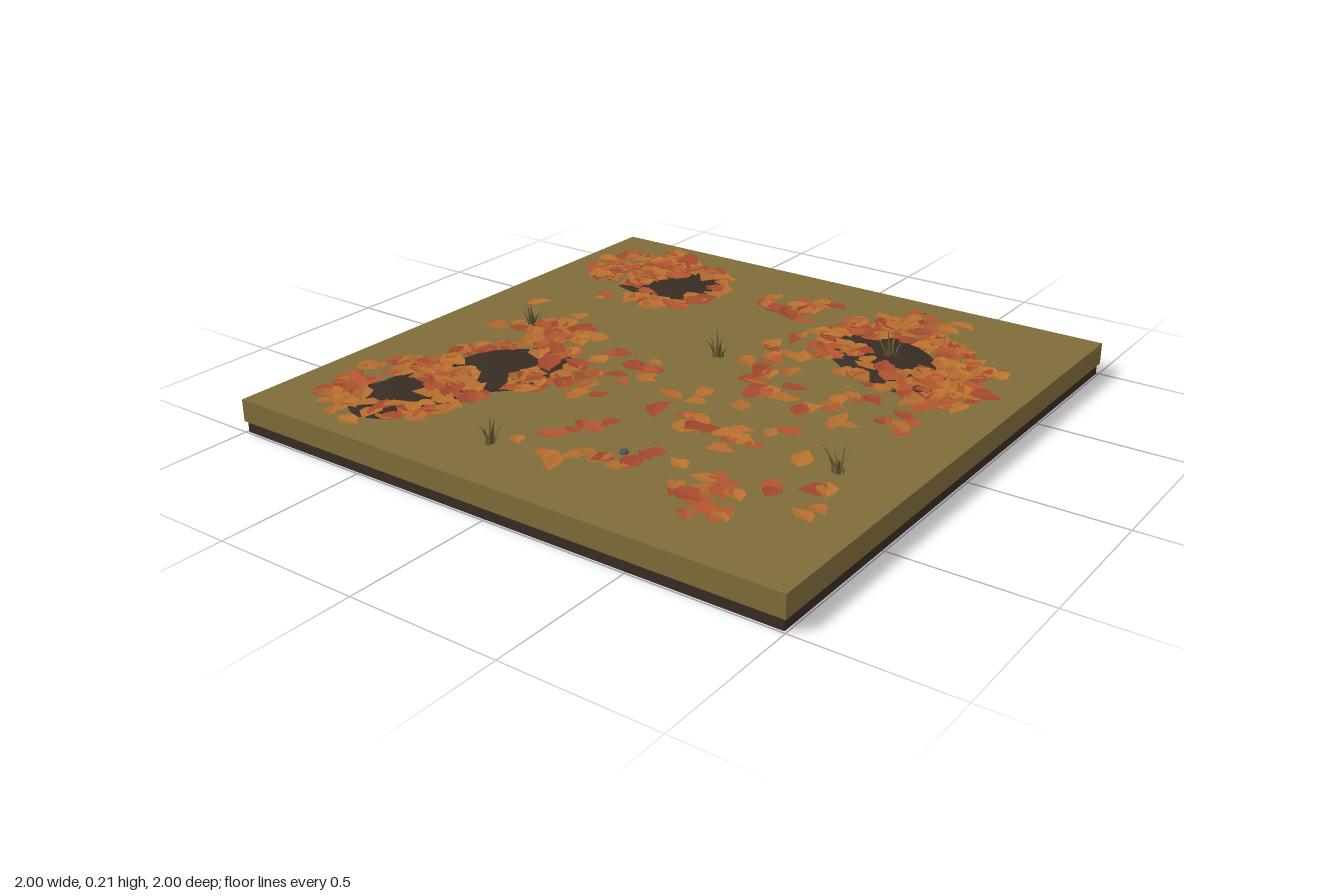
import * as THREE from 'three';
import { mergeGeometries } from 'three/addons/utils/BufferGeometryUtils.js';

const TOP = 0.112;
let seed = 7;
const rand = () => {
  seed = (seed * 16807) % 2147483647;
  return seed / 2147483647;
};
const range = (a, b) => a + (b - a) * rand();

const mat = (color) => new THREE.MeshStandardMaterial({ color, flatShading: true, side: THREE.DoubleSide });

function add(parent, name, geometry, material) {
  const mesh = new THREE.Mesh(geometry, material);
  mesh.name = name;
  parent.add(mesh);
  return mesh;
}

// Soil mounds: centre, radii, turn about y and height
const MOUNDS = [
  { x: -0.66, z: -0.6, rx: 0.22, rz: 0.16, turn: -0.3, h: 0.02 },
  { x: -0.34, z: -0.49, rx: 0.23, rz: 0.17, turn: -0.5, h: 0.022 },
  { x: 0.63, z: -0.53, rx: 0.17, rz: 0.19, turn: 0.2, h: 0.02 },
  { x: 0.43, z: 0.5, rx: 0.16, rz: 0.29, turn: -0.55, h: 0.022 },
];

// Height of the ground, including mounds, at a point
function groundHeight(x, z) {
  let y = TOP;
  for (const m of MOUNDS) {
    const dx = x - m.x, dz = z - m.z, c = Math.cos(m.turn), s = Math.sin(m.turn);
    const u = (dx * c - dz * s) / m.rx, v = (dx * s + dz * c) / m.rz;
    const d = u * u + v * v;
    if (d < 1) y = Math.max(y, TOP + m.h * Math.sqrt(1 - d));
  }
  return y;
}

// Grass slab with a faintly uneven top
function slabGeometry() {
  const geo = new THREE.BoxGeometry(2, TOP - 0.038, 2, 20, 1, 20);
  geo.translate(0, (TOP + 0.038) / 2, 0);
  const p = geo.attributes.position;
  for (let i = 0; i < p.count; i++) {
    const x = p.getX(i), z = p.getZ(i);
    if (p.getY(i) < TOP - 0.01 || Math.max(Math.abs(x), Math.abs(z)) > 0.99) continue;
    const dip = 0.004 * Math.exp(-((x - 0.35) ** 2 + (z + 0.1) ** 2) * 8);
    p.setY(i, TOP - dip - 0.002 * Math.abs(Math.sin(x * 17 + z * 9) * Math.cos(z * 13)));
  }
  return geo;
}

// Low dome with a ragged rim
function moundGeometry({ x, z, rx, rz, turn, h }) {
  const geo = new THREE.SphereGeometry(1, 18, 5, 0, Math.PI * 2, 0, Math.PI / 2);
  const p = geo.attributes.position;
  for (let i = 0; i < p.count; i++) {
    const a = Math.atan2(p.getZ(i), p.getX(i));
    const k = 1 + 0.06 * Math.sin(a * 5 + x * 9) + 0.04 * Math.sin(a * 8);
    p.setXYZ(i, p.getX(i) * k, p.getY(i), p.getZ(i) * k);
  }
  return geo.scale(rx, h, rz).rotateY(turn).translate(x, TOP - 0.001, z);
}

// Pointed leaf folded along its midrib
function leafGeometry(size) {
  const w = range(0.33, 0.44), lift = range(0.04, 0.13);
  const geo = new THREE.BufferGeometry();
  geo.setAttribute('position', new THREE.Float32BufferAttribute([
    0, 0, 0.45, w * 0.8, lift, 0.28, w, lift, -0.05,
    0, 0.05, -0.6, -w, lift, -0.05, -w * 0.8, lift, 0.28,
  ], 3));
  geo.setIndex([0, 1, 2, 0, 2, 3, 0, 3, 4, 0, 4, 5]);
  geo.computeVertexNormals();
  return geo.scale(size, size, size);
}

// Leaf piles and drifts: x, z, radii, turn, count, share of the middle left bare
const DRIFTS = [
  [-0.68, -0.64, 0.25, 0.24, 0, 85, 0.2],
  [-0.36, -0.5, 0.27, 0.21, -0.5, 85, 0.3],
  [-0.02, -0.54, 0.13, 0.15, 0, 30, 0],
  [-0.2, -0.2, 0.2, 0.15, 0, 26, 0],
  [0.7, -0.7, 0.21, 0.2, 0, 85, 0],
  [0.59, -0.48, 0.22, 0.18, 0, 65, 0.35],
  [0.47, 0.5, 0.25, 0.36, -0.5, 125, 0.15],
  [0.36, 0.76, 0.22, 0.13, 0, 50, 0],
  [0.75, 0.42, 0.12, 0.22, 0, 16, 0],
  [0.25, 0.2, 0.25, 0.1, 0, 20, 0],
  [0.02, 0.68, 0.15, 0.17, 0, 14, 0],
  [-0.2, 0.3, 0.28, 0.25, 0, 32, 0],
  [-0.58, 0.6, 0.25, 0.25, 0, 24, 0],
  [-0.62, 0.08, 0.17, 0.25, 0, 17, 0],
  [0.66, -0.02, 0.14, 0.27, 0, 16, 0],
  [0.1, -0.68, 0.3, 0.14, 0, 8, 0],
];

function leafDrift(group, [cx, cz, rx, rz, turn, count, bare], materials) {
  const sets = materials.map(() => []);
  const c = Math.cos(turn), s = Math.sin(turn);
  for (let i = 0; i < count; i++) {
    const r = Math.sqrt(range(bare, 1)), a = range(0, Math.PI * 2);
    const u = rx * r * Math.cos(a), v = rz * r * Math.sin(a);
    const x = cx + u * c + v * s, z = cz - u * s + v * c;
    const leaf = leafGeometry(range(0.065, 0.098));
    leaf.rotateX(range(-0.13, 0.13)).rotateZ(range(-0.13, 0.13)).rotateY(range(0, Math.PI * 2));
    leaf.translate(x, groundHeight(x, z) + range(0.004, 0.012), z);
    sets[Math.floor(rand() * sets.length)].push(leaf);
  }
  sets.forEach((set, i) => set.length && add(group, 'leaves', mergeGeometries(set), materials[i]));
}

// Tapered grass blade bending outwards along +x
function bladeGeometry(height, bend, width) {
  const geo = new THREE.PlaneGeometry(1, 1, 1, 3);
  const p = geo.attributes.position;
  for (let i = 0; i < p.count; i++) {
    const t = p.getY(i) + 0.5;
    p.setXYZ(i, bend * t * t, height * t, p.getX(i) * width * (1 - 0.95 * t));
  }
  geo.computeVertexNormals();
  return geo;
}

function tuftGeometry(x, z) {
  const blades = [];
  for (let i = 0; i < 8; i++) {
    const a = i * 0.785 + range(-0.3, 0.3);
    const blade = bladeGeometry(range(0.05, 0.092), range(0.015, 0.045), 0.015);
    blades.push(blade.translate(range(0.004, 0.022), 0, 0).rotateY(a).translate(x, groundHeight(x, z) - 0.003, z));
  }
  return mergeGeometries(blades);
}

export function createModel() {
  seed = 7;
  const model = new THREE.Group();
  model.name = 'autumnGroundTile';

  // Base layers
  const soil = new THREE.BoxGeometry(1.985, 0.04, 1.985).translate(0, 0.02, 0);
  add(model, 'soilBase', soil, mat(0x3a2b24));
  add(model, 'grassSlab', slabGeometry(), mat(0x806c3a));

  // Mounds
  const moundMat = mat(0x382c24);
  MOUNDS.forEach((m) => add(model, 'soilMound', moundGeometry(m), moundMat));

  // Fallen leaves
  const leaves = new THREE.Group();
  leaves.name = 'fallenLeaves';
  const leafMats = [0xa2482c, 0xb0552e, 0xb8702f, 0xb06a2e].map(mat);
  DRIFTS.forEach((d) => leafDrift(leaves, d, leafMats));
  model.add(leaves);

  // Grass tufts
  const tuftMat = mat(0x6a5d34);
  [[-0.78, -0.16], [0, -0.67], [0.16, 0], [-0.36, 0.77], [0.44, 0.49]]
    .forEach(([x, z]) => add(model, 'grassTuft', tuftGeometry(x, z), tuftMat));

  // Small pebble
  const pebble = new THREE.IcosahedronGeometry(0.016, 0).scale(1, 0.6, 1).translate(-0.61, TOP + 0.004, 0.2);
  add(model, 'pebble', pebble, mat(0x50545c));

  return model;
}
